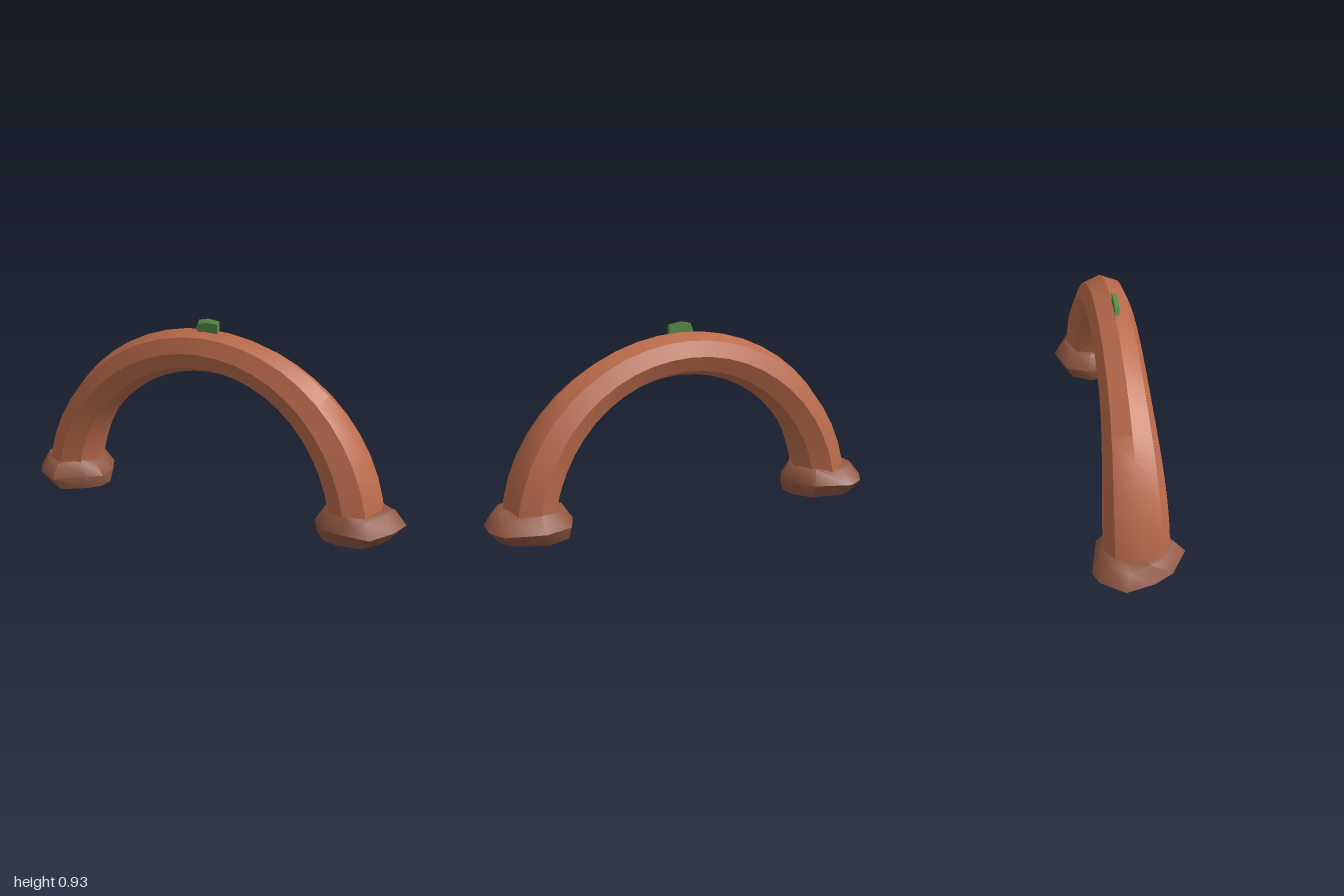
import * as THREE from 'three';
import { toCreasedNormals } from 'three/addons/utils/BufferGeometryUtils.js';

// Closed skin through rings; each ring runs clockwise seen from the end of travel.
function loft(rings, crease) {
  const n = rings[0].length, pos = [], idx = [];
  rings.forEach(r => r.forEach(p => pos.push(...p)));
  for (let k = 0; k < rings.length - 1; k++) {
    for (let i = 0; i < n; i++) {
      const a = k * n + i, b = k * n + (i + 1) % n;
      idx.push(a, a + n, b + n, a, b + n, b);
    }
  }
  // flat caps fanned around the ring centres
  [rings[0], rings[rings.length - 1]].forEach((r, end) => {
    const c = pos.length / 3, o = end ? (rings.length - 1) * n : 0;
    pos.push(...[0, 1, 2].map(d => r.reduce((s, p) => s + p[d], 0) / n));
    for (let i = 0; i < n; i++) {
      const a = o + i, b = o + (i + 1) % n;
      idx.push(c, end ? b : a, end ? a : b);
    }
  });
  const g = new THREE.BufferGeometry();
  g.setAttribute('position', new THREE.Float32BufferAttribute(pos, 3));
  g.setIndex(idx);
  return toCreasedNormals(g, crease);
}

function createModel() {
  const group = new THREE.Group();
  const clay = new THREE.MeshStandardMaterial({ name: 'clay', color: 0xbb6b4b });
  const darkClay = new THREE.MeshStandardMaterial({ name: 'darkClay', color: 0x8f5641 });
  const leaf = new THREE.MeshStandardMaterial({ name: 'leaf', color: 0x568845 });
  const add = (name, geometry, material) => {
    const mesh = new THREE.Mesh(geometry, material);
    mesh.name = name;
    group.add(mesh);
  };

  // Arch: octagonal section between an outer and an inner ellipse, thicker at the feet
  const rings = [], steps = 24;
  for (let k = 0; k <= steps; k++) {
    const t = 0.06 + (Math.PI - 0.12) * k / steps;
    const half = 0.105 + 0.046 * Math.cos(t) ** 2 + 0.003 * Math.sin(5 * t);
    const ring = [];
    for (let i = 0; i < 8; i++) {
      const a = i * Math.PI / 4, f = Math.cos(a);
      const rx = 0.792 + 0.128 * f, ry = 0.777 + 0.103 * f;
      ring.push([rx * Math.cos(t), ry * Math.sin(t), -0.006 + half * Math.sin(a)]);
    }
    rings.push(ring);
  }
  add('arch', loft(rings, 0.72), clay);

  // Foot stones: uneven outlines [x, z] at their widest level
  const outlines = {
    rightFoot: [[-1, -0.08], [-0.93, -0.19], [-0.86, -0.215], [-0.67, -0.175], [-0.6, -0.06],
      [-0.595, 0.04], [-0.65, 0.12], [-0.78, 0.218], [-0.91, 0.14], [-0.97, 0.05]],
    leftFoot: [[0.64, -0.17], [0.78, -0.225], [0.95, -0.15], [1, -0.08], [0.985, 0.04],
      [0.92, 0.165], [0.78, 0.185], [0.68, 0.15], [0.6, 0.05], [0.59, -0.06]],
  };
  for (const [name, outline] of Object.entries(outlines)) {
    const cx = 0.79 * Math.sign(outline[0][0]);
    const level = (y, scale, shift, wobble) => outline.map(([x, z], i) =>
      [cx * (1 - shift) + (x - cx) * scale, y + wobble * Math.sin(i * 2.3), z * scale]);
    add(name, loft([
      level(0, 0.82, 0.03, 0),
      level(0.063, 1, 0, 0.006),
      level(0.132, 0.76, 0, 0.012),
      level(0.142, 0.55, 0, 0.006),
    ], 0.85), darkClay);
  }

  // Small leaf tuft on the crown
  const back = [[-0.072, 0.865], [-0.05, 0.921], [0, 0.931], [0.06, 0.923], [0.06, 0.865]];
  const front = [[-0.045, 0.865], [-0.035, 0.905], [0, 0.915], [0.06, 0.912], [0.06, 0.865]];
  add('leafTuft', loft([
    back.map(([x, y]) => [x, y, -0.006]),
    front.map(([x, y]) => [x, y, 0.018]),
  ], 0.3), leaf);

  return group;
}

export { createModel };
